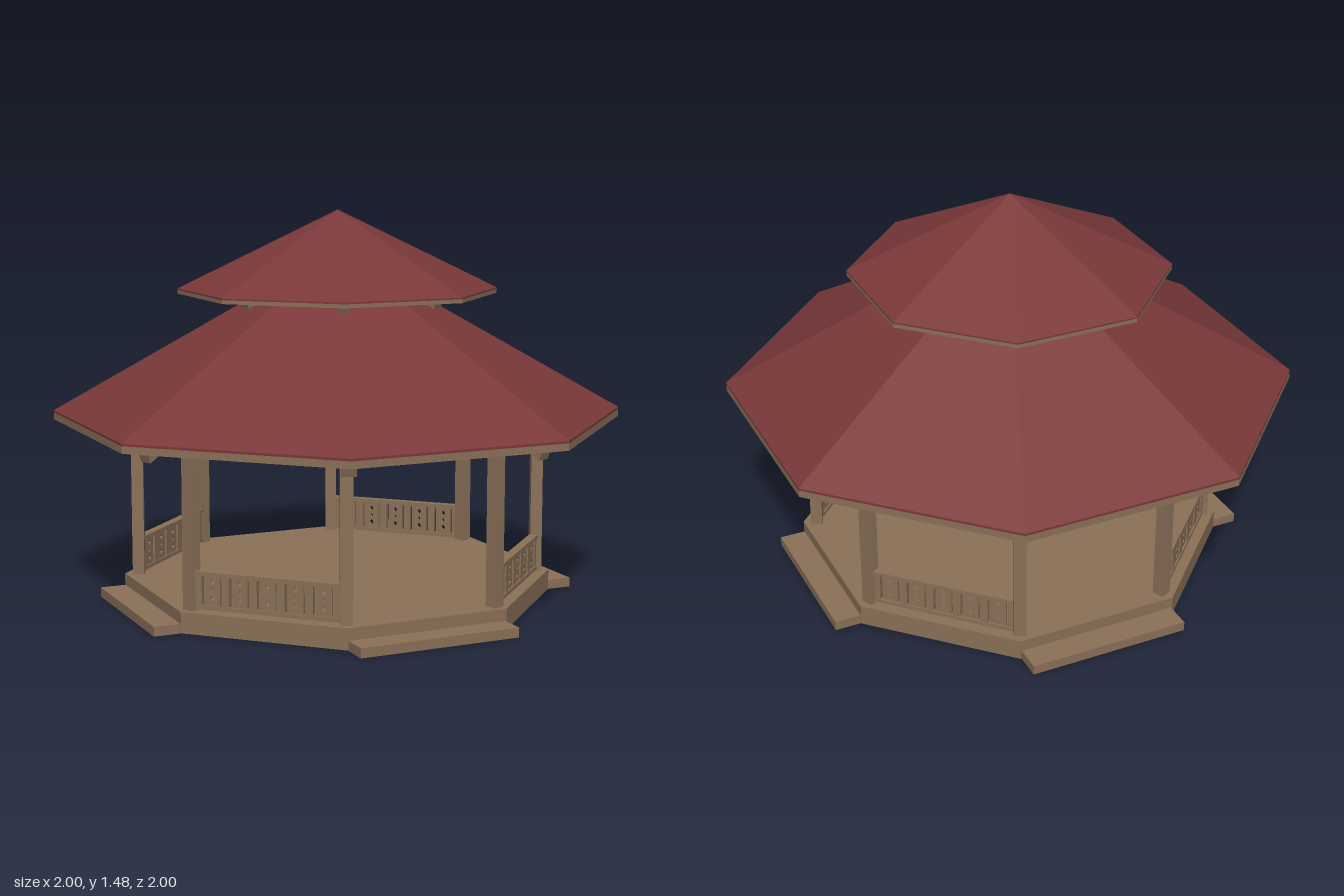
import * as THREE from 'three';

const wood = new THREE.MeshStandardMaterial({ color: 0x8a7058 });
wood.name = 'brown wood';
const roofRed = new THREE.MeshStandardMaterial({ color: 0x7a3839 });
roofRed.name = 'dark red roofing';

const COS = Math.cos(Math.PI / 8);
const TAN = Math.tan(Math.PI / 8);

function add(parent, name, geometry, material, x = 0, y = 0, z = 0) {
  const mesh = new THREE.Mesh(geometry, material);
  mesh.name = name;
  mesh.position.set(x, y, z);
  parent.add(mesh);
  return mesh;
}

function box(parent, name, w, h, d, x, y, z) {
  return add(parent, name, new THREE.BoxGeometry(w, h, d), wood, x, y, z);
}

// Faceted octagonal solid from a [flat radius, y] profile, flats facing the axes
function octagon(parent, name, profile, material) {
  const points = profile.map(([r, y]) => new THREE.Vector2(r / COS, y));
  const g = new THREE.LatheGeometry(points, 8, Math.PI / 8).toNonIndexed();
  g.computeVertexNormals();
  return add(parent, name, g, material);
}

function turned(parent, name, angle) {
  const group = new THREE.Group();
  group.name = name;
  group.rotation.y = angle;
  parent.add(group);
  return group;
}

// Roof tier: wooden deck, red covering and eight hip rafters
function roofTier(parent, name, { flat, eave, rim, rise, skin, tipR, tipY, width }) {
  const tier = turned(parent, name, 0);
  octagon(tier, name + 'Deck', [[0, eave + rise], [flat, eave], [flat, eave + rim]], wood);
  octagon(tier, name + 'Covering',
    [[flat, eave + rim], [flat, eave + rim + skin], [0, eave + rim + skin + rise]], roofRed);
  const R = flat / COS, slope = rise / R;
  const deckY = r => eave + (R - r) * slope + 0.004;
  const outer = tipR + 0.03;
  const shape = new THREE.Shape([
    [0, tipY + tipR * slope], [tipR, tipY], [outer, deckY(outer)], [0, deckY(0)],
  ].map(p => new THREE.Vector2(...p)));
  const g = new THREE.ExtrudeGeometry(shape, { depth: width, bevelEnabled: false });
  g.translate(0, 0, -width / 2);
  for (let k = 0; k < 8; k++) {
    add(turned(tier, name + 'RafterArm', Math.PI / 8 + k * Math.PI / 4), name + 'Rafter', g, wood);
  }
}

// Baluster board pierced by three diamonds
function boardGeometry(w, h, t) {
  const s = new THREE.Shape();
  s.moveTo(-w / 2, 0).lineTo(w / 2, 0).lineTo(w / 2, h).lineTo(-w / 2, h).closePath();
  for (const [cy, a, b] of [[0.24, 0.009, 0.012], [0.5, 0.006, 0.009], [0.76, 0.009, 0.012]]) {
    const hole = new THREE.Path(), y = cy * h;
    hole.moveTo(0, y - b).lineTo(-a, y).lineTo(0, y + b).lineTo(a, y).closePath();
    s.holes.push(hole);
  }
  const g = new THREE.ExtrudeGeometry(s, { depth: t, bevelEnabled: false });
  g.translate(0, 0, -t / 2);
  return g;
}

export function createModel() {
  const model = new THREE.Group();
  model.name = 'gazebo';
  const ring = 0.71;             // flat radius of the post ring
  const side = 2 * ring * TAN;   // distance between posts

  // Hollow platform
  octagon(model, 'platform',
    [[0, 0.065], [0.74, 0.065], [0.74, 0.002], [0.76, 0.002], [0.76, 0.08], [0, 0.08]], wood);

  // Posts and the beams joining their tops
  for (let k = 0; k < 8; k++) {
    const corner = turned(model, 'postCorner', Math.PI / 8 + k * Math.PI / 4);
    box(corner, 'post', 0.045, 0.73, 0.045, ring / COS, 0.415, 0);
    const bay = turned(model, 'beamBay', k * Math.PI / 4);
    box(bay, 'ringBeam', side, 0.05, 0.04, 0, 0.745, ring);
  }

  // Hollow steps on the four open sides
  for (let k = 0; k < 4; k++) {
    const step = turned(model, 'step', k * Math.PI / 2);
    box(step, 'stepTread', 0.62, 0.012, 0.1, 0, 0.03, 0.81);
    box(step, 'stepFront', 0.62, 0.026, 0.014, 0, 0.013, 0.853);
    for (const s of [-1, 1]) box(step, 'stepEnd', 0.014, 0.026, 0.09, s * 0.303, 0.013, 0.805);
  }

  // Railings on the four diagonal sides
  const board = boardGeometry(0.062, 0.115, 0.012);
  const count = 5, pitch = 0.106;
  for (let k = 0; k < 4; k++) {
    const rail = turned(model, 'railing', Math.PI / 4 + k * Math.PI / 2);
    box(rail, 'topRail', side - 0.04, 0.015, 0.034, 0, 0.217, ring);
    box(rail, 'bottomRail', side - 0.04, 0.015, 0.026, 0, 0.094, ring);
    for (let i = 0; i < count; i++) {
      add(rail, 'piercedBoard', board, wood, (i - (count - 1) / 2) * pitch, 0.098, ring);
    }
    for (let i = 0; i <= count; i++) {
      box(rail, 'slat', 0.03, 0.115, 0.02, (i - count / 2) * pitch, 0.155, ring);
    }
  }

  // Two roof tiers joined by a short king post
  roofTier(model, 'lowerRoof',
    { flat: 1, eave: 0.685, rim: 0.026, rise: 0.615, skin: 0.009, tipR: 0.975, tipY: 0.64, width: 0.05 });
  roofTier(model, 'upperRoof',
    { flat: 0.56, eave: 1.163, rim: 0.014, rise: 0.296, skin: 0.006, tipR: 0.49, tipY: 1.136, width: 0.04 });
  box(model, 'kingPost', 0.05, 0.14, 0.05, 0, 1.35, 0);

  return model;
}
